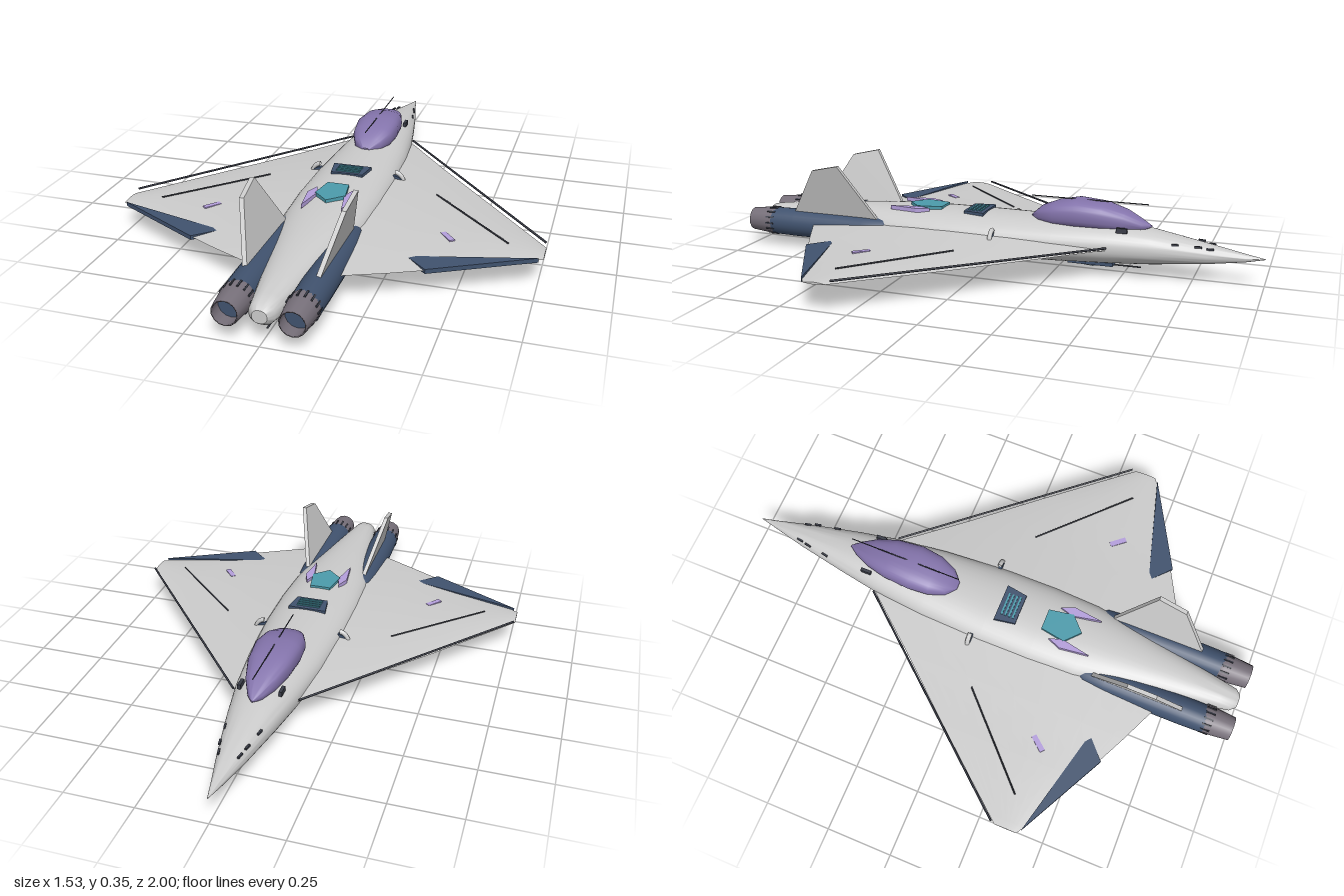
import * as THREE from 'three';
import { toCreasedNormals } from 'three/addons/utils/BufferGeometryUtils.js';

const mat = (color) => new THREE.MeshStandardMaterial({ color, side: THREE.DoubleSide });
const grey = mat(0xcccccc), navy = mat(0x40526e), purple = mat(0x8474ac), teal = mat(0x4c9cac);
const lilac = mat(0xb49fdc), metal = mat(0x77707a), dark = mat(0x3a3d48), glass = mat(0x9fb4bd);

function add(parent, name, geometry, material, x = 0, y = 0, z = 0) {
  const mesh = new THREE.Mesh(geometry, material);
  mesh.name = name;
  mesh.position.set(x, y, z);
  parent.add(mesh);
  return mesh;
}

// Skin a list of equal-length closed rings and cap both ends
function loft(rings, crease = 0.7) {
  const n = rings[0].length, index = [], last = (rings.length - 1) * n;
  for (let i = 0; i < rings.length - 1; i++) {
    for (let j = 0; j < n; j++) {
      const a = i * n + j, b = i * n + (j + 1) % n;
      index.push(a, b, b + n, a, b + n, a + n);
    }
  }
  for (let j = 1; j < n - 1; j++) index.push(0, j + 1, j, last, last + j, last + j + 1);
  const g = new THREE.BufferGeometry();
  g.setAttribute('position', new THREE.Float32BufferAttribute(rings.flat(2), 3));
  g.setIndex(index);
  return toCreasedNormals(g, crease);
}

// Rounded body along z from stations [z, half width, bottom, top]
function body(stations, power, n = 40) {
  const curve = (v, p) => Math.sign(v) * Math.abs(v) ** p;
  return loft(stations.map(([z, w, lo, hi]) => Array.from({ length: n }, (_, j) => {
    const a = j / n * Math.PI * 2;
    return [w * curve(Math.cos(a), power), (lo + hi) / 2 + (hi - lo) / 2 * curve(Math.sin(a), power), z];
  })));
}

// Flat plate with an x,z outline, its top face at the mesh height
function plate(points, depth) {
  const shape = new THREE.Shape(points.map(([x, z]) => new THREE.Vector2(x, z)));
  return new THREE.ExtrudeGeometry(shape, { depth, bevelEnabled: false }).rotateX(Math.PI / 2);
}

function rod(parent, name, a, b, r, material) {
  const from = new THREE.Vector3(...a), to = new THREE.Vector3(...b);
  const m = add(parent, name, new THREE.CylinderGeometry(r, r, from.distanceTo(to), 6), material);
  m.position.lerpVectors(from, to, 0.5);
  m.quaternion.setFromUnitVectors(new THREE.Vector3(0, 1, 0), to.sub(from).normalize());
}

function wingGeometry() {
  // x, leading z, trailing z, half thickness, middle height
  const stations = [[0.05, -0.53, 0.72, 0.034, 0.109], [0.15, -0.41, 0.71, 0.027, 0.109],
    [0.3, -0.23, 0.64, 0.018, 0.105], [0.5, 0.0, 0.54, 0.011, 0.102],
    [0.74, 0.285, 0.415, 0.006, 0.102], [0.765, 0.315, 0.4, 0.004, 0.102]];
  const n = 28;
  return loft(stations.map(([x, front, back, h, y]) => Array.from({ length: n }, (_, j) => {
    const a = j / n * Math.PI * 2, c = Math.cos(a);
    return [x, y + h * c * Math.abs(c), (front + back) / 2 + (back - front) / 2 * Math.sin(a)];
  })));
}

function finGeometry() {
  const outline = [[0.43, 0.12], [0.82, 0.12], [0.69, 0.33], [0.58, 0.355]];
  const shape = new THREE.Shape(outline.map(([z, y]) => new THREE.Vector2(z, y)));
  const g = new THREE.ExtrudeGeometry(shape, { depth: 0.016, bevelEnabled: false }).rotateY(-Math.PI / 2);
  const p = g.attributes.position;
  for (let i = 0; i < p.count; i++) p.setX(i, p.getX(i) + 0.13 + (p.getY(i) - 0.15) * 0.27); // lean outward
  g.computeVertexNormals();
  return g;
}

// Everything on the model's left; reused mirrored on its right
function buildSide(side) {
  add(side, 'wing', wingGeometry(), grey);
  add(side, 'wingFlap', plate([[0.75, 0.412], [0.33, 0.52], [0.41, 0.592]], 0.016), navy, 0, 0.111, 0);
  add(side, 'tailFin', finGeometry(), grey);
  rod(side, 'leadingEdgeStrip', [0.12, 0.12, -0.455], [0.76, 0.115, 0.3], 0.004, dark);
  rod(side, 'wingSeam', [0.33, 0.121, 0.045], [0.64, 0.116, 0.345], 0.003, dark);
  const marker = add(side, 'wingMarker', new THREE.BoxGeometry(0.02, 0.006, 0.065), lilac, 0.435, 0.115, 0.355);
  marker.rotation.y = 0.7;

  // Engine pod, petalled nozzle and recessed exhaust
  const pod = [[0.001, 0.36], [0.035, 0.38], [0.05, 0.42], [0.054, 0.5], [0.055, 0.8], [0.053, 0.9]];
  add(side, 'enginePod', new THREE.LatheGeometry(pod.map(([r, z]) => new THREE.Vector2(r, -z)).reverse(), 28)
    .rotateX(-Math.PI / 2), navy, 0.11, 0.098, 0);
  const nozzle = [[0.053, 0.885], [0.055, 0.9], [0.045, 1], [0.04, 1], [0.044, 0.93]];
  add(side, 'nozzle', new THREE.LatheGeometry(nozzle.map(([r, z]) => new THREE.Vector2(r, z)), 14)
    .rotateX(Math.PI / 2), metal, 0.108, 0.098, 0);
  add(side, 'exhaust', new THREE.CircleGeometry(0.046, 24), navy, 0.108, 0.098, 0.95);
  for (let i = 0; i < 14; i++) {
    const a = i / 14 * Math.PI * 2;
    add(side, 'nozzlePetal', new THREE.BoxGeometry(0.006, 0.006, 0.035), dark,
      0.108 + Math.cos(a) * 0.053, 0.098 + Math.sin(a) * 0.053, 0.905).rotation.z = a;
  }

  // Intake lip wrapped around the fuselage flank
  const lip = add(side, 'intakeLip', new THREE.TorusGeometry(0.05, 0.009, 8, 24, Math.PI), grey, 0.15, 0.1, -0.035);
  lip.rotation.z = -Math.PI / 2;
  lip.scale.set(1.1, 0.75, 1);
  add(side, 'intakeMouth', new THREE.CylinderGeometry(0.045, 0.045, 0.014, 20).rotateX(Math.PI / 2), navy, 0.145, 0.1, -0.032);

  // Nose slots and canopy clamps
  for (const [x, y, z] of [[0.036, 0.128, -0.81], [0.047, 0.135, -0.77], [0.06, 0.138, -0.69]])
    add(side, 'noseSlot', new THREE.BoxGeometry(0.007, 0.007, 0.025), dark, x, y, z).rotation.y = 0.2;
  add(side, 'canopyClamp', new THREE.BoxGeometry(0.012, 0.018, 0.04), dark, 0.074, 0.177, -0.5);

  // Lilac plates beside the dorsal plate
  add(side, 'dorsalWinglet', plate([[0.05, 0.3], [0.066, 0.25], [0.086, 0.3], [0.072, 0.41]], 0.016), lilac, 0, 0.193, 0);
}

export function createModel() {
  const model = new THREE.Group();
  model.name = 'jet';

  add(model, 'fuselage', body([[-1, 0.001, 0.099, 0.101], [-0.93, 0.017, 0.084, 0.113], [-0.8, 0.048, 0.066, 0.137],
    [-0.6, 0.088, 0.047, 0.172], [-0.45, 0.115, 0.039, 0.186], [-0.25, 0.14, 0.031, 0.189], [0, 0.158, 0.025, 0.189],
    [0.2, 0.16, 0.024, 0.188], [0.38, 0.152, 0.026, 0.183], [0.5, 0.13, 0.029, 0.178], [0.65, 0.1, 0.034, 0.168],
    [0.8, 0.074, 0.042, 0.155], [0.92, 0.052, 0.052, 0.143], [0.97, 0.043, 0.06, 0.135], [0.99, 0.025, 0.075, 0.12]], 0.9), grey);

  add(model, 'canopy', body([[-0.595, 0.003, 0.18, 0.186], [-0.56, 0.028, 0.165, 0.205], [-0.5, 0.056, 0.16, 0.235],
    [-0.42, 0.077, 0.16, 0.258], [-0.32, 0.086, 0.16, 0.266], [-0.24, 0.078, 0.16, 0.25], [-0.18, 0.054, 0.165, 0.226],
    [-0.145, 0.015, 0.175, 0.194]], 0.72, 32), purple);
  rod(model, 'canopyRail', [0, 0.262, -0.58], [0, 0.262, -0.14], 0.002, dark);

  // Dorsal vent with slats, then the pointed plate behind it
  add(model, 'ventPanel', plate([[-0.073, 0.03], [0.073, 0.03], [0.06, 0.112], [-0.06, 0.112]], 0.02), navy, 0, 0.194, 0);
  for (let i = 0; i < 4; i++)
    add(model, 'ventSlat', new THREE.BoxGeometry(0.09, 0.006, 0.007), teal, 0, 0.195, 0.05 + i * 0.015);
  add(model, 'dorsalPlate', plate([[-0.04, 0.21], [0.04, 0.21], [0.056, 0.305], [0, 0.357], [-0.056, 0.305]], 0.02), teal, 0, 0.196, 0);

  // Belly panels, blister and keel line
  add(model, 'forwardBellyPanel', new THREE.BoxGeometry(0.1, 0.014, 0.17), navy, 0, 0.037, -0.38);
  add(model, 'forwardBellyWindow', plate([[0, -0.45], [0.045, -0.39], [0.03, -0.32], [-0.03, -0.32], [-0.045, -0.39]], 0.012), glass, 0, 0.037, 0);
  for (const z of [0.12, 0.3])
    add(model, 'bellyPlate', plate([[-0.09, z - 0.04], [0, z - 0.07], [0.09, z - 0.04], [0.06, z + 0.06], [-0.06, z + 0.06]], 0.014), glass, 0, 0.029, 0);
  add(model, 'bellyBlister', body([[0.14, 0.004, 0.012, 0.03], [0.2, 0.018, 0.003, 0.03], [0.27, 0.02, 0, 0.03],
    [0.34, 0.018, 0.003, 0.03], [0.4, 0.004, 0.012, 0.03]], 1, 16), navy);
  rod(model, 'keelLine', [0, 0.024, -0.56], [0, 0.024, 0.93], 0.003, dark);

  for (const s of [1, -1]) {
    const side = new THREE.Group();
    side.name = s > 0 ? 'leftSide' : 'rightSide';
    buildSide(side);
    side.scale.x = s;
    model.add(side);
  }
  return model;
}
